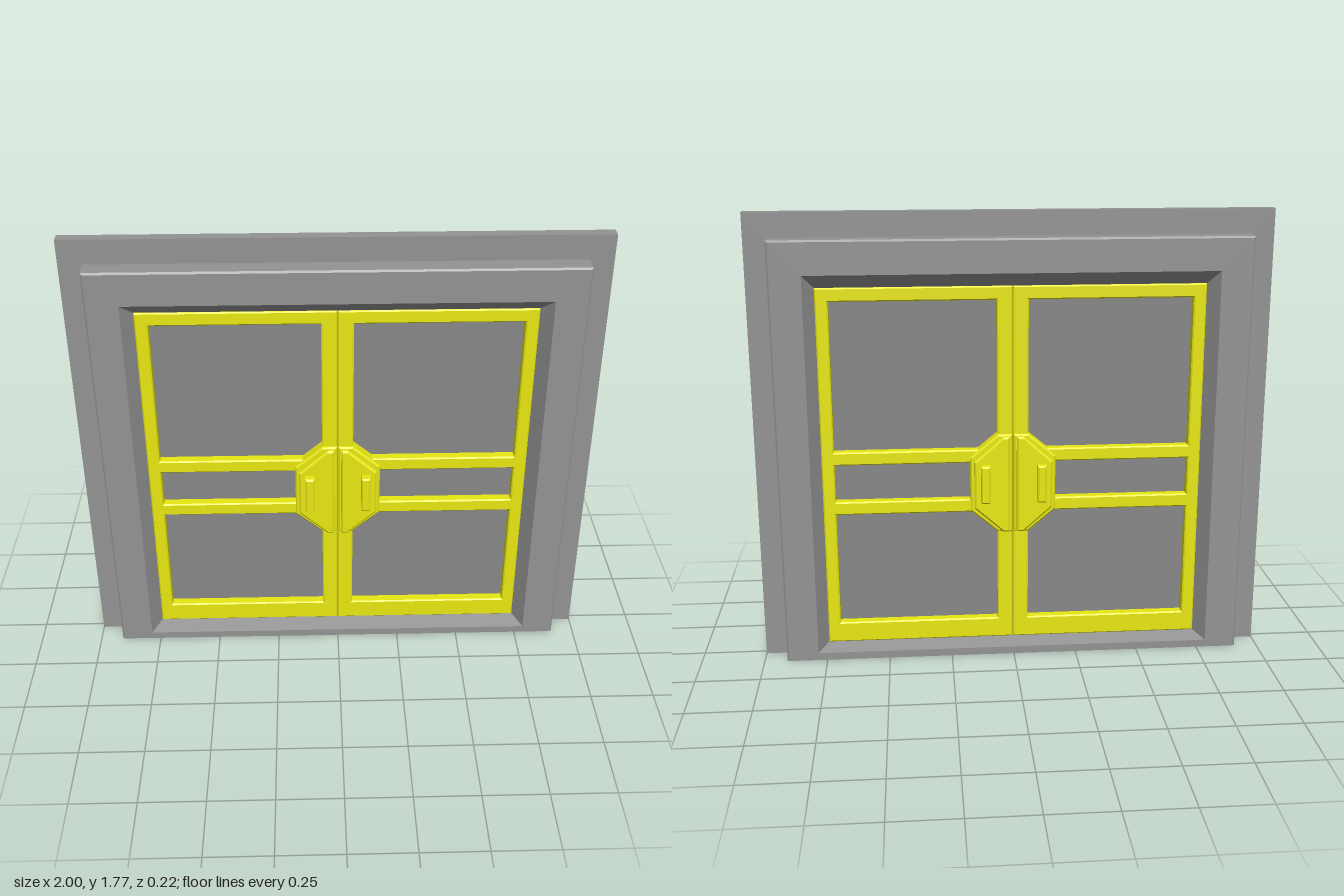
import * as THREE from 'three';

const grey = new THREE.MeshStandardMaterial({ color: 0x939393, flatShading: true, side: THREE.DoubleSide });
const darkGrey = new THREE.MeshStandardMaterial({ color: 0x878787, flatShading: true });
const yellow = new THREE.MeshStandardMaterial({ color: 0xe8e812, flatShading: true });

function addMesh(parent, name, geometry, material) {
  const mesh = new THREE.Mesh(geometry, material);
  mesh.name = name;
  parent.add(mesh);
  return mesh;
}

const rectPoints = (x0, y0, x1, y1) =>
  [[x0, y0], [x1, y0], [x1, y1], [x0, y1]].map(([x, y]) => new THREE.Vector2(x, y));

// Plate lying symmetrically about z = 0, with both rims chamfered
function chamferedPlate(points, holes, halfDepth, chamfer) {
  const shape = new THREE.Shape(points);
  shape.holes = holes.map(h => new THREE.Path(h));
  const geometry = new THREE.ExtrudeGeometry(shape, {
    depth: 2 * (halfDepth - chamfer), bevelEnabled: true, bevelSegments: 1,
    bevelSize: chamfer, bevelThickness: chamfer, bevelOffset: -chamfer,
  });
  geometry.translate(0, 0, -(halfDepth - chamfer));
  return geometry;
}

// One face of the surround: rectangular rings [half width, bottom, top, z], open underneath
function surroundGeometry() {
  const rings = [
    [1, 0, 1.77, 0], [1, 0, 1.77, 0.022],
    [0.91, 0, 1.675, 0.022], [0.91, 0, 1.675, 0.094], [0.903, 0, 1.668, 0.1],
    [0.785, 0.03, 1.545, 0.1], [0.745, 0.05, 1.49, 0.035], [0.745, 0.05, 1.49, 0],
  ];
  const corners = ([w, b, t, z]) => [[-w, b, z], [w, b, z], [w, t, z], [-w, t, z]];
  const positions = [];
  for (let i = 0; i < rings.length - 1; i++) {
    const outer = corners(rings[i]), inner = corners(rings[i + 1]);
    for (let k = 0; k < 4; k++) {
      if (k === 0 && rings[i + 1][1] === 0) continue;
      const n = (k + 1) % 4;
      positions.push(...outer[k], ...outer[n], ...inner[n], ...outer[k], ...inner[n], ...inner[k]);
    }
  }
  const geometry = new THREE.BufferGeometry();
  geometry.setAttribute('position', new THREE.Float32BufferAttribute(positions, 3));
  geometry.computeVertexNormals();
  return geometry;
}

// One door leaf on side s, with its lock plates and handle
function createLeaf(s) {
  const leaf = new THREE.Group();
  const rect = (x0, y0, x1, y1) => rectPoints(Math.min(s * x0, s * x1), y0, Math.max(s * x0, s * x1), y1);
  const poly = pts => pts.map(([x, y]) => new THREE.Vector2(s * x, y));

  // Stiles and rails around three panes
  const panes = [[0.133, 0.592], [0.644, 0.795], [0.847, 1.437]].map(([b, t]) => rect(0.061, b, 0.696, t));
  addMesh(leaf, 'leafFrame', chamferedPlate(rect(0.001, 0.05, 0.745, 1.49), panes, 0.042, 0.005), yellow);

  // Half-octagon lock plate and the smaller plate raised on it
  const base = poly([[0.003, 0.51], [0.06, 0.51], [0.167, 0.60], [0.167, 0.82], [0.06, 0.91], [0.003, 0.91]]);
  addMesh(leaf, 'lockPlate', chamferedPlate(base, [], 0.056, 0.006), yellow);
  const raised = poly([[0.014, 0.515], [0.04, 0.515], [0.153, 0.615], [0.153, 0.805], [0.04, 0.905], [0.014, 0.905]]);
  addMesh(leaf, 'raisedLockPlate', chamferedPlate(raised, [], 0.077, 0.007), yellow);

  // Grip, standing out on both faces
  addMesh(leaf, 'handle', chamferedPlate(rect(0.092, 0.645, 0.128, 0.795), [], 0.109, 0.006), yellow);
  return leaf;
}

export function createModel() {
  const model = new THREE.Group();

  // Surround, the same on front and back
  const surround = surroundGeometry();
  addMesh(model, 'frontSurround', surround, grey);
  addMesh(model, 'backSurround', surround, grey).rotation.y = Math.PI;

  // Thin panel filling the panes of both leaves
  const panel = addMesh(model, 'doorPanel', new THREE.BoxGeometry(1.48, 1.43, 0.008), darkGrey);
  panel.position.y = 0.77;

  for (const s of [-1, 1]) {
    const leaf = createLeaf(s);
    leaf.name = s > 0 ? 'leftDoorLeaf' : 'rightDoorLeaf';
    model.add(leaf);
  }
  return model;
}
